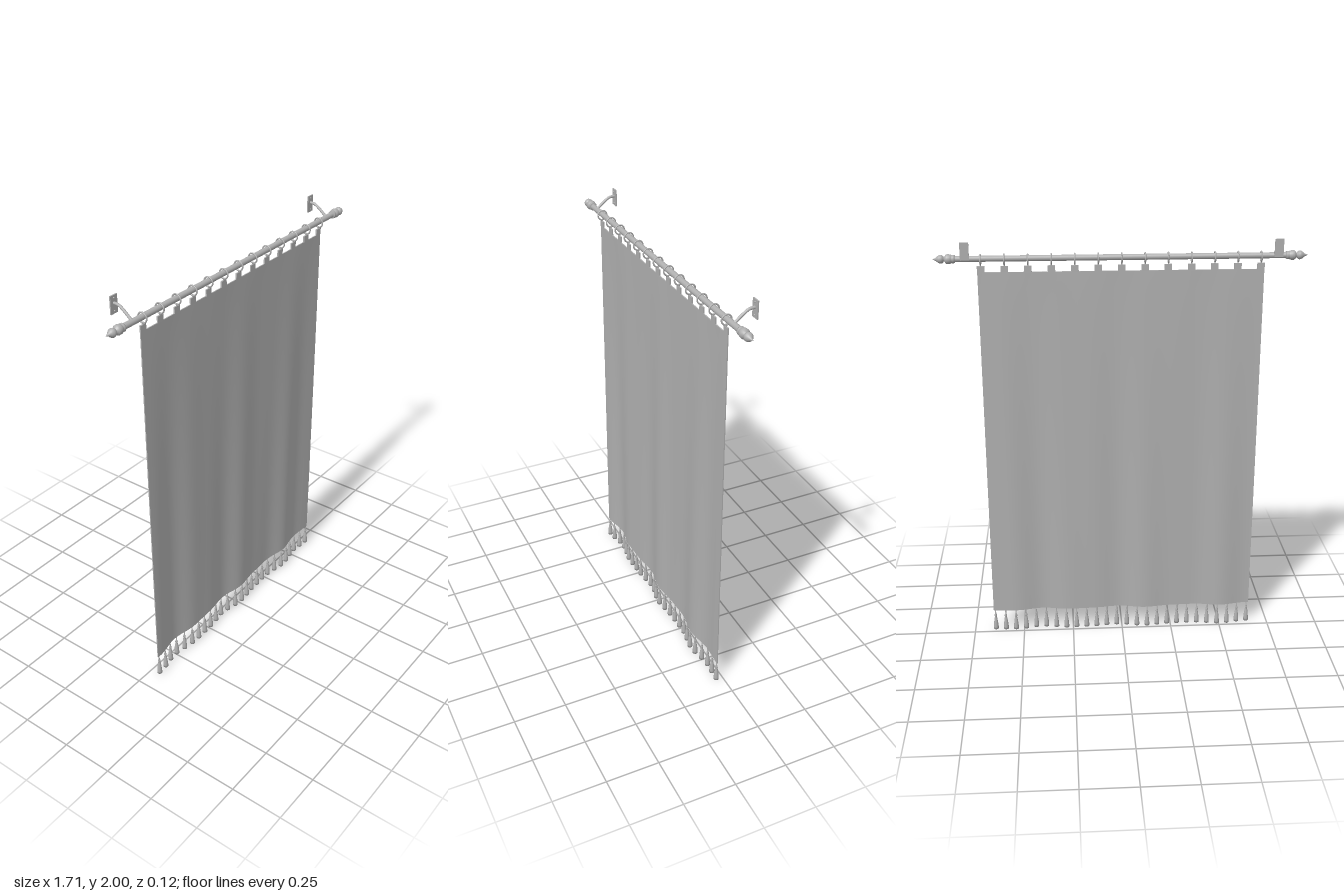
import * as THREE from 'three';

const ROD_Y = 1.908, ROD_Z = 0.034;
const CLOTH_TOP = 1.846, CLOTH_BOTTOM = 0.105, CLOTH_WIDTH = 1.308;

// depth of the hanging cloth: folds deepen towards the hem
function foldZ(x, y) {
  const t = THREE.MathUtils.clamp((CLOTH_TOP - y) / (CLOTH_TOP - CLOTH_BOTTOM), 0, 1);
  const wave = -0.8 * Math.cos((2 * Math.PI * (x + 0.5)) / 0.36) + 0.3 * Math.sin(x * 31 + 0.6 + t);
  return ROD_Z + 0.0105 * Math.pow(t, 0.8) * wave;
}

const profile = (pts) => pts.map(([r, y]) => new THREE.Vector2(r, y));

export function createModel() {
  const model = new THREE.Group();
  const grey = new THREE.MeshStandardMaterial({ color: 0xb0b0b0 });
  grey.name = 'plain grey';

  const add = (parent, name, geometry, x = 0, y = 0, z = 0) => {
    const mesh = new THREE.Mesh(geometry, grey);
    mesh.name = name;
    mesh.position.set(x, y, z);
    parent.add(mesh);
    return mesh;
  };

  // rod
  const rod = add(model, 'rod', new THREE.CylinderGeometry(0.0135, 0.0135, 1.54, 24), 0, ROD_Y, ROD_Z);
  rod.rotation.z = Math.PI / 2;

  // turned finials: collar, neck, bulb and pointed tip
  const finialGeo = new THREE.LatheGeometry(profile([
    [0, 0], [0.017, 0], [0.019, 0.004], [0.019, 0.012], [0.016, 0.014], [0.02, 0.017],
    [0.022, 0.026], [0.022, 0.036], [0.018, 0.042], [0.011, 0.046], [0.011, 0.05],
    [0.017, 0.054], [0.02, 0.061], [0.019, 0.069], [0.014, 0.077], [0.008, 0.084],
    [0.004, 0.092], [0, 0.102],
  ]), 24);

  // wall brackets: plate and bent arm
  const armPath = new THREE.CatmullRomCurve3([
    new THREE.Vector3(0, 1.966, -0.056), new THREE.Vector3(0, 1.963, -0.03),
    new THREE.Vector3(0, 1.945, -0.002), new THREE.Vector3(0, 1.915, ROD_Z),
  ]);
  const armGeo = new THREE.TubeGeometry(armPath, 16, 0.0065, 12);
  const plateGeo = new THREE.BoxGeometry(0.04, 0.08, 0.006);
  const screwGeo = new THREE.SphereGeometry(0.004, 10, 8);
  for (const side of [-1, 1]) {
    const finial = add(model, 'finial', finialGeo, side * 0.751, ROD_Y, ROD_Z);
    finial.rotation.z = -side * Math.PI / 2;

    const bracket = new THREE.Group();
    bracket.name = 'bracket';
    bracket.position.x = side * 0.7;
    add(bracket, 'plate', plateGeo, 0, 1.96, -0.058);
    add(bracket, 'arm', armGeo);
    for (const y of [1.932, 1.988]) add(bracket, 'screw', screwGeo, 0, y, -0.055);
    model.add(bracket);
  }

  // rings with hooks and clips
  const ringGeo = new THREE.TorusGeometry(0.0225, 0.0035, 8, 28);
  const hookGeo = new THREE.CylinderGeometry(0.003, 0.003, 0.02, 8);
  const clipGeo = new THREE.BoxGeometry(0.034, 0.03, 0.007);
  for (let i = 0; i < 13; i++) {
    const hanger = new THREE.Group();
    hanger.name = 'curtainRing';
    hanger.position.set((i - 6) * 0.1063, 0, ROD_Z);
    add(hanger, 'ring', ringGeo, 0, ROD_Y - 0.004, 0).rotation.y = Math.PI / 2;
    add(hanger, 'hook', hookGeo, 0, 1.876, 0);
    add(hanger, 'clip', clipGeo, 0, 1.859, 0);
    model.add(hanger);
  }

  // cloth panel, bent into soft folds
  const height = CLOTH_TOP - CLOTH_BOTTOM;
  const clothGeo = new THREE.BoxGeometry(CLOTH_WIDTH, height, 0.005, 120, 40, 1);
  clothGeo.translate(0, CLOTH_BOTTOM + height / 2, 0);
  const p = clothGeo.attributes.position;
  for (let i = 0; i < p.count; i++) p.setZ(i, p.getZ(i) + foldZ(p.getX(i), p.getY(i)));
  clothGeo.computeVertexNormals();
  add(model, 'cloth', clothGeo);

  // tassels along the hem
  const tasselGeo = new THREE.LatheGeometry(profile([
    [0, 0], [0.0125, 0], [0.0125, 0.012], [0.0105, 0.035], [0.007, 0.06], [0.0045, 0.068],
    [0.0065, 0.073], [0.006, 0.08], [0.003, 0.086], [0.0025, 0.108], [0, 0.108],
  ]), 12);
  for (let i = 0; i < 26; i++) {
    const x = (i - 12.5) * 0.0516;
    add(model, 'tassel', tasselGeo, x, 0, foldZ(x, CLOTH_BOTTOM));
  }

  return model;
}
